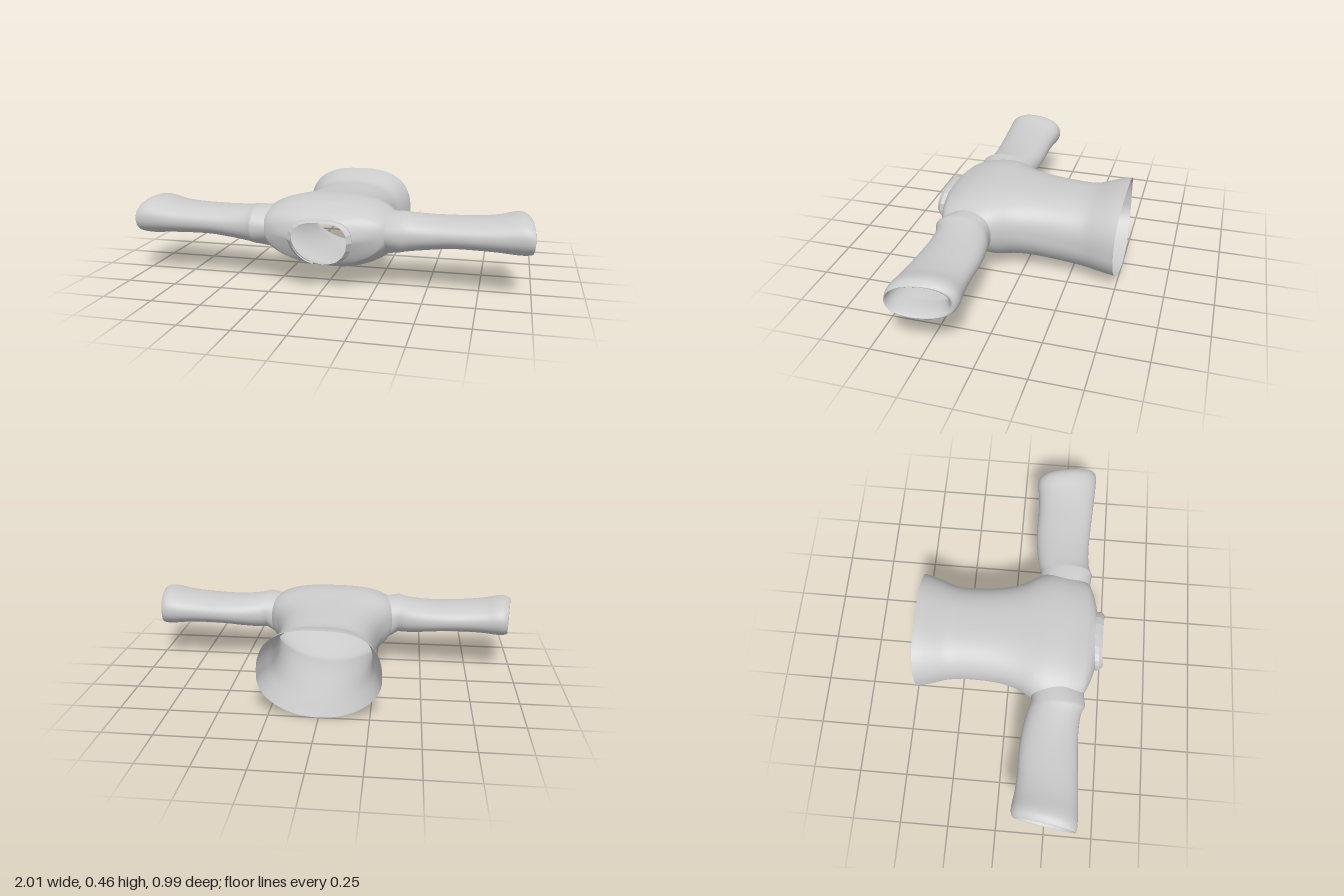
import * as THREE from 'three';
import { mergeGeometries, mergeVertices } from 'three/addons/utils/BufferGeometryUtils.js';

const cloth = new THREE.MeshStandardMaterial({ color: 0xcccccc, side: THREE.DoubleSide });
const collarCloth = new THREE.MeshStandardMaterial({ color: 0xcccccc, side: THREE.DoubleSide, flatShading: true });

// Torso sections: z, half width, bottom y, widest y, top y
const TORSO = [
  [-0.50, 0.305, 0.00, 0.20, 0.455], [-0.45, 0.295, 0.004, 0.20, 0.447], [-0.38, 0.275, 0.008, 0.20, 0.425],
  [-0.32, 0.255, 0.012, 0.20, 0.408], [-0.20, 0.247, 0.022, 0.21, 0.412], [-0.05, 0.26, 0.036, 0.23, 0.42],
  [0.05, 0.29, 0.039, 0.25, 0.427], [0.13, 0.335, 0.037, 0.265, 0.434], [0.20, 0.355, 0.058, 0.27, 0.437],
  [0.30, 0.345, 0.095, 0.275, 0.425], [0.36, 0.33, 0.115, 0.28, 0.405], [0.40, 0.30, 0.127, 0.28, 0.388],
  [0.43, 0.235, 0.131, 0.275, 0.374], [0.455, 0.145, 0.13, 0.265, 0.362],
];

// Sleeve sections: x, centre z, half depth, centre y, half height, cuff slant
const SLEEVE = [
  [0.37, 0.27, 0.14, 0.285, 0.098, 0], [0.42, 0.252, 0.138, 0.283, 0.091, 0], [0.52, 0.24, 0.143, 0.285, 0.081, 0],
  [0.62, 0.238, 0.148, 0.29, 0.075, 0], [0.74, 0.242, 0.151, 0.293, 0.077, 0.02], [0.84, 0.242, 0.157, 0.297, 0.085, 0.06],
  [0.91, 0.239, 0.163, 0.302, 0.097, 0.11], [0.95, 0.239, 0.164, 0.302, 0.097, 0.13], [0.978, 0.242, 0.155, 0.297, 0.087, 0.15],
  [0.972, 0.25, 0.143, 0.298, 0.078, 0.15], [0.93, 0.26, 0.132, 0.30, 0.068, 0.13], [0.87, 0.26, 0.127, 0.298, 0.064, 0.08],
];

const HOLE = { z: 0.265, r: 0.135, angle: 0.62 }; // armhole
const HOLE_STEPS = 20;

// Smooth (Hermite) interpolation of section rows by their first entry
function sample(keys, t) {
  let i = 0;
  while (i < keys.length - 2 && t > keys[i + 1][0]) i++;
  const a = keys[i], b = keys[i + 1], p = keys[i - 1] ?? a, n = keys[i + 2] ?? b;
  const h = b[0] - a[0], s = (t - a[0]) / h;
  return a.map((_, k) => {
    const m0 = (b[k] - p[k]) / (b[0] - p[0]) * h, m1 = (n[k] - a[k]) / (n[0] - a[0]) * h;
    return (1 + 2 * s) * (1 - s) ** 2 * a[k] + s * (1 - s) ** 2 * m0
      + s * s * (3 - 2 * s) * b[k] + s * s * (s - 1) * m1;
  });
}

const power = (v, e) => Math.sign(v) * Math.abs(v) ** e;

// Point on the torso: boxy above the widest level, round below
function torsoPoint(z, theta) {
  const [, w, low, mid, high] = sample(TORSO, z);
  const c = Math.cos(theta), s = Math.sin(theta), up = s > 0, e = up ? 0.75 : 1;
  const neck = Math.max(0, (z - 0.40) / 0.055), hem = Math.max(0, (-z - 0.42) / 0.08);
  const dz = (up ? -0.015 : 0.045) * s * neck + 0.012 * c * c * hem;
  return [w * power(c, e), mid + (up ? high - mid : mid - low) * power(s, e), z + dz];
}

// Surface through rows of points
function grid(rows, flip = false) {
  const n = rows[0].length, index = [];
  for (let i = 0; i < rows.length - 1; i++) {
    for (let j = 0; j < n - 1; j++) {
      const a = i * n + j, b = a + 1, c = a + n, d = c + 1;
      index.push(...(flip ? [a, c, b, b, c, d] : [a, b, c, b, d, c]));
    }
  }
  const g = new THREE.BufferGeometry();
  g.setAttribute('position', new THREE.Float32BufferAttribute(rows.flat(2), 3));
  g.setIndex(index);
  return g;
}

function smooth(g) {
  const welded = mergeVertices(g, 1e-4);
  welded.computeVertexNormals();
  return welded;
}

function mesh(name, geometry, material = cloth) {
  const m = new THREE.Mesh(geometry, material);
  m.name = name;
  return m;
}

const range = (n, f) => Array.from({ length: n + 1 }, (_, i) => f(i / n));

// Upper and lower panels, which meet at the sides except along the armholes
function torsoGeometry() {
  const start = HOLE.z - HOLE.r, end = HOLE.z + HOLE.r;
  const stations = [
    ...range(26, t => [-0.5 + t * (start + 0.5), 0]).slice(0, -1),
    ...range(HOLE_STEPS, t => [HOLE.z - HOLE.r * Math.cos(Math.PI * t), HOLE.angle * Math.sin(Math.PI * t)]),
    ...range(8, t => [end + t * (0.455 - end), 0]).slice(1),
  ];
  const panel = base => grid(stations.map(([z, a]) =>
    range(32, t => torsoPoint(z, base + a + t * (Math.PI - 2 * a)))));
  return smooth(mergeGeometries([panel(0), panel(Math.PI)]));
}

// Sleeve from the armhole edge to a cuff turned inward
function sleeveGeometry(side) {
  const around = f => range(HOLE_STEPS * 2, t => f(t * Math.PI * 2));
  const armhole = around(p => torsoPoint(HOLE.z + HOLE.r * Math.cos(p), HOLE.angle * Math.sin(p)));
  const keys = SLEEVE.map((s, i) => [i, ...s]);
  const rows = range((SLEEVE.length - 1) * 3, t => {
    const [, x, cz, rz, cy, ry, slant] = sample(keys, t * (SLEEVE.length - 1));
    return around(p => {
      const dz = rz * power(Math.cos(p), 0.9);
      return [x + slant * dz, cy + ry * power(Math.sin(p), 0.9), cz + dz];
    });
  });
  const all = [armhole, ...rows].map(r => r.map(([x, y, z]) => [side * x, y, z]));
  return smooth(grid(all, side > 0));
}

// Narrow standing band, open at the throat
function collarGeometry() {
  const gap = 0.3, from = -Math.PI / 2 + gap;
  const rows = [[0, 1.06], [0.028, 1.1], [0.047, 0.95]].map(([dz, k]) =>
    range(18, t => {
      const [x, y, z] = torsoPoint(0.455, from + t * (Math.PI * 2 - 2 * gap));
      return [x * k, 0.25 + (y - 0.25) * Math.min(k, 1.02), z - 0.008 + dz];
    }));
  const g = grid(rows);
  g.computeVertexNormals();
  return g;
}

export function createModel() {
  const group = new THREE.Group();
  group.name = 'shirt';
  group.add(mesh('torso', torsoGeometry()));
  group.add(mesh('leftSleeve', sleeveGeometry(1)));
  group.add(mesh('rightSleeve', sleeveGeometry(-1)));
  group.add(mesh('collar', collarGeometry(), collarCloth));
  return group;
}
